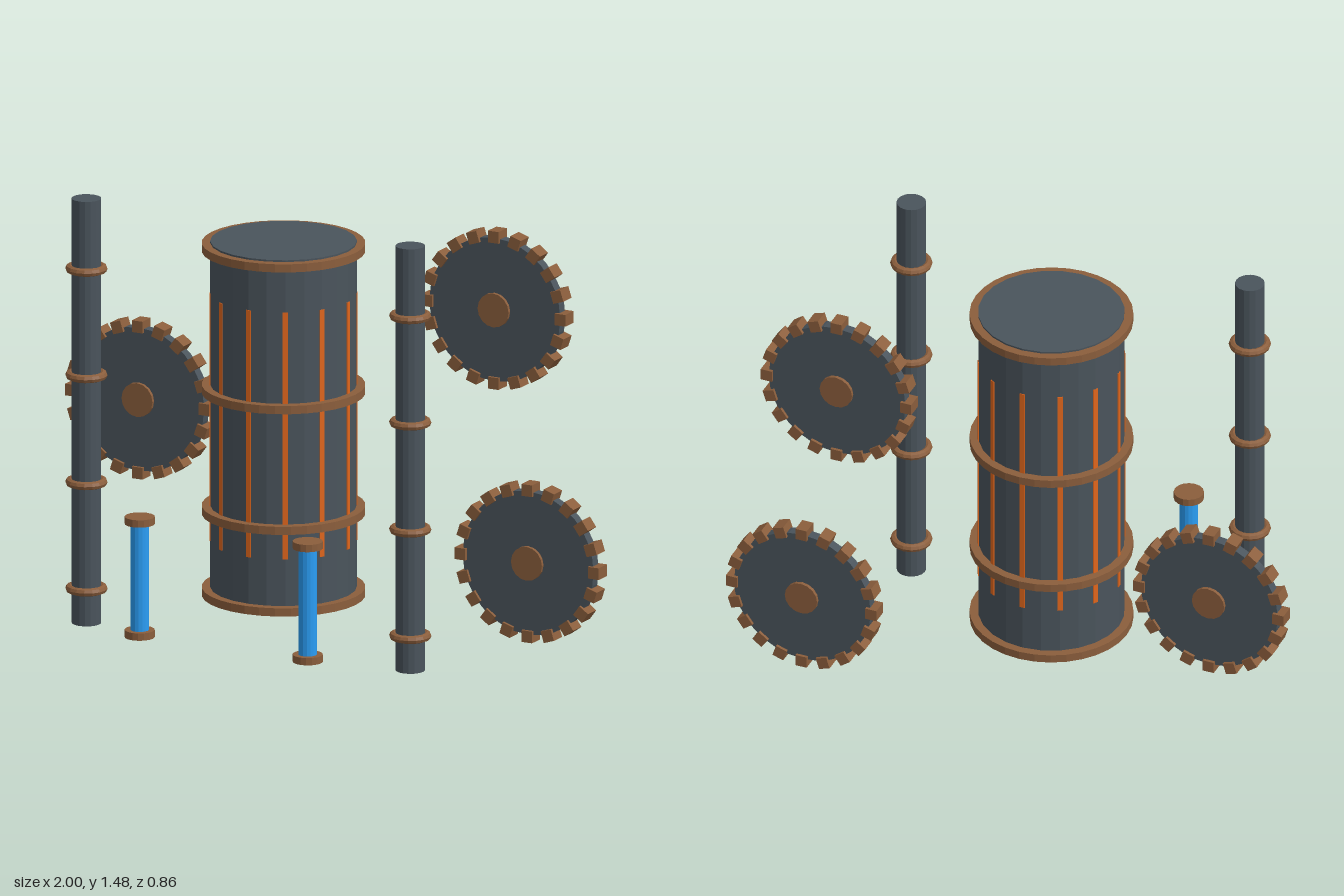
import * as THREE from 'three';

const mat = (color) => new THREE.MeshStandardMaterial({ color, flatShading: true });

export function createModel() {
  const iron = mat(0x4a545c), copper = mat(0x8b5e3c), glow = mat(0xe0661c), fluid = mat(0x2a9df4);
  const model = new THREE.Group();

  const group = (name, x, y, z) => {
    const g = new THREE.Group();
    g.name = name;
    g.position.set(x, y, z);
    model.add(g);
    return g;
  };
  const add = (parent, name, geometry, material, x = 0, y = 0, z = 0) => {
    const m = new THREE.Mesh(geometry, material);
    m.name = name;
    m.position.set(x, y, z);
    parent.add(m);
    return m;
  };
  // upright cylinder between two heights
  const column = (parent, name, r, y0, y1, sides, material) =>
    add(parent, name, new THREE.CylinderGeometry(r, r, y1 - y0, sides), material, 0, (y0 + y1) / 2, 0);

  // central boiler with copper bands
  const boiler = group('boiler', 0, 0, -0.037);
  column(boiler, 'boilerBody', 0.242, 0.156, 1.363, 24, iron);
  for (const y of [0.166, 0.445, 0.858, 1.343]) {
    column(boiler, 'boilerBand', 0.27, y - 0.014, y + 0.014, 32, copper);
  }
  // glowing vertical slits around the boiler
  for (let i = 0; i < 12; i++) {
    const a = (i * Math.PI) / 6;
    const slit = add(boiler, 'glowSlit', new THREE.BoxGeometry(0.018, 0.845, 0.012), glow,
      Math.sin(a) * 0.238, 0.762, Math.cos(a) * 0.238);
    slit.rotation.y = a;
  }

  for (const side of [-1, 1]) {
    const label = side > 0 ? 'left' : 'right';

    // tall pipe with ring joints
    const pipe = group(label + 'Pipe', side * 0.607, 0, 0.206);
    column(pipe, 'pipeBody', 0.049, 0.035, 1.487, 16, iron);
    for (const y of [0.153, 0.517, 0.883, 1.247]) {
      const ring = add(pipe, 'pipeRing', new THREE.TorusGeometry(0.056, 0.014, 8, 16), copper, 0, y, 0);
      ring.rotation.x = Math.PI / 2;
    }

    // fluid gauge with end caps
    const gauge = group(label + 'Gauge', side * 0.315, 0, 0.376);
    column(gauge, 'gaugeTube', 0.031, 0.08, 0.465, 16, fluid);
    column(gauge, 'gaugeBottomCap', 0.05, 0.067, 0.092, 16, copper);
    column(gauge, 'gaugeTopCap', 0.05, 0.454, 0.479, 16, copper);
  }

  // toothed gears behind the boiler
  const disc = (r, depth, sides) => new THREE.CylinderGeometry(r, r, depth, sides).rotateX(Math.PI / 2);
  const gears = [['upperLeftGear', 0.605, 1.123], ['rightGear', -0.73, 0.638], ['lowerLeftGear', 0.73, 0.273]];
  for (const [name, x, y] of gears) {
    const gear = group(name, x, y, -0.399);
    add(gear, 'gearDisc', disc(0.245, 0.036, 32), iron);
    add(gear, 'gearHub', disc(0.058, 0.06, 16), copper);
    for (let i = 0; i < 20; i++) {
      const a = (i * Math.PI) / 10;
      const tooth = add(gear, 'gearTooth', new THREE.BoxGeometry(0.04, 0.04, 0.057), copper,
        Math.cos(a) * 0.25, Math.sin(a) * 0.25, 0);
      tooth.rotation.z = a;
    }
  }
  return model;
}
